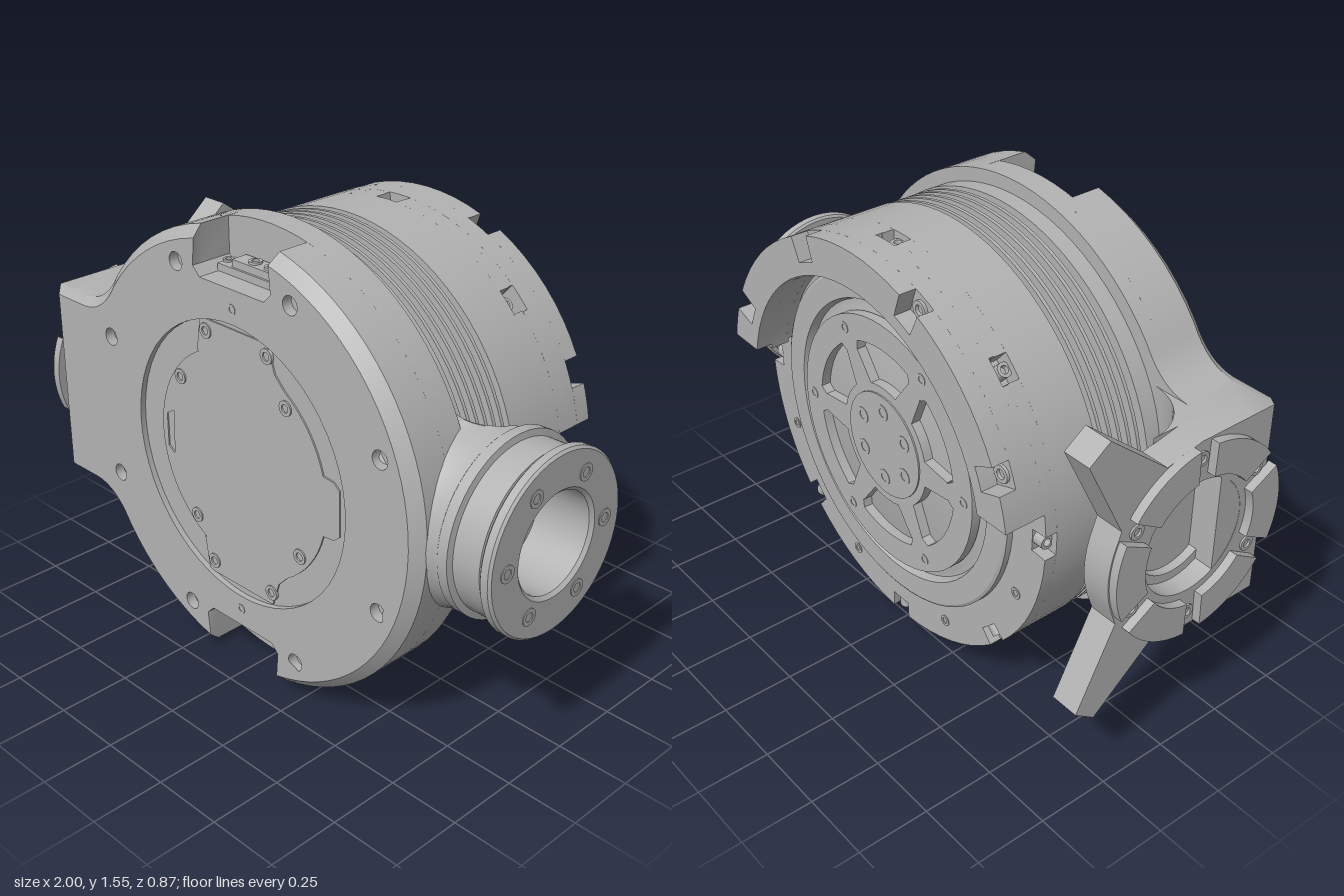
import * as THREE from 'three';
import { toCreasedNormals } from 'three/addons/utils/BufferGeometryUtils.js';
import { ParametricGeometry } from 'three/addons/geometries/ParametricGeometry.js';

const CX = -0.012, CY = 0.78;      // main axis, along z
const HZ = 0.09;                   // side hub axis, along x
const PI = Math.PI;

export function createModel() {
  const model = new THREE.Group();
  const metal = new THREE.MeshStandardMaterial({ color: 0xb2b2b2, side: THREE.DoubleSide });
  metal.name = 'grey metal';

  const add = (name, geo, x = 0, y = 0, z = 0, crease = 0.5) => {
    const mesh = new THREE.Mesh(toCreasedNormals(geo, crease), metal);
    mesh.name = name;
    mesh.position.set(x, y, z);
    model.add(mesh);
    return mesh;
  };
  const pts = a => a.map(p => new THREE.Vector2(p[0], p[1]));
  const polar = (r, a) => [r * Math.cos(a), r * Math.sin(a)];
  const arc = (r, a, b, n) => Array.from({ length: n + 1 }, (_, i) => polar(r, a + (b - a) * i / n));
  const shape = a => new THREE.Shape(pts(a));
  const circle = (r, x = 0, y = 0, n = 24) =>
    new THREE.Path(pts(arc(r, 0, 2 * PI, n).slice(0, -1).map(p => [p[0] + x, p[1] + y])));
  const extrude = (s, depth, steps = 1) =>
    new THREE.ExtrudeGeometry(s, { depth, steps, bevelEnabled: false, curveSegments: 16 });
  const lathe = (profile, n = 64) => new THREE.LatheGeometry(pts(profile), n);

  // Socket-head screw whose top faces dir: 'z', '-z', 'x', '-x' or a radial angle
  const screw = (x, y, z, dir, r = 0.026, h = 0.03) => {
    const g = lathe([[r, -h], [r, 0], [r * 0.55, 0], [r * 0.5, -h * 0.45], [0, -h * 0.45]], 16);
    if (dir === 'z') g.rotateX(PI / 2);
    else if (dir === '-z') g.rotateX(-PI / 2);
    else if (dir === 'x') g.rotateZ(-PI / 2);
    else if (dir === '-x') g.rotateZ(PI / 2);
    else g.rotateZ(dir - PI / 2);
    add('screw', g, x, y, z);
  };

  // Housing outline: a circle with the arm on -x, optionally notched at top and bottom
  const outline = notched => {
    const R = 0.775, w = 0.175, e = Math.acos(w / R), end = 143 * PI / 180;
    const half = [];
    if (notched) {
      half.push(...arc(R, 0, e, 18), [w, 0.63], [w - 0.03, 0.6], [0.03 - w, 0.6], [-w, 0.63],
        ...arc(R, PI - e, end, 8));
    } else half.push(...arc(R, 0, end, 34));
    const blend = new THREE.QuadraticBezierCurve(
      new THREE.Vector2(...polar(R, end)), new THREE.Vector2(-0.69, 0.35), new THREE.Vector2(-0.8, 0.345));
    half.push(...blend.getPoints(8).slice(1).map(p => [p.x, p.y]), [-0.955, 0.345]);
    return [...half, ...half.slice(1).reverse().map(p => [p[0], -p[1]])];
  };

  // Rear layer of the housing
  add('housing rear', extrude(shape(outline(false)), 0.09), CX, CY, 0.19);

  // Front layer: notches, cover recess, bolt holes and a chamfered front edge
  const boltSpots = [];
  for (let i = 0; i < 8; i++) boltSpots.push(polar(0.673, PI / 8 + i * PI / 4));
  const front = shape(outline(true));
  front.holes.push(circle(0.485, 0, 0, 56), ...boltSpots.map(p => circle(0.031, p[0], p[1], 16)));
  const fg = extrude(front, 0.19, 2);
  const pos = fg.attributes.position;
  for (let i = 0; i < pos.count; i++) {
    const x = pos.getX(i), y = pos.getY(i), z = pos.getZ(i);
    if (z > 0.15 && Math.hypot(x, y) > 0.72) pos.setXY(i, x * 0.953, y * 0.953);
    else if (z > 0.05 && z < 0.15) pos.setZ(i, 0.15);
  }
  add('housing front', fg, CX, CY, 0.24, 0.4);
  boltSpots.forEach(p => {
    const plug = new THREE.CylinderGeometry(0.031, 0.031, 0.1, 16).rotateX(PI / 2);
    add('bolt hole floor', plug, CX + p[0], CY + p[1], 0.345);
  });

  // Recessed cover with a thin raised plate
  add('cover disc', new THREE.CylinderGeometry(0.485, 0.485, 0.14, 56).rotateX(PI / 2), CX, CY, 0.34);
  const plate = shape([[0.14, 0.46], [0.17, 0.37], ...arc(0.39, 1.0, 0.27, 8), [0.42, 0.1], [0.445, 0.08],
    [0.445, -0.08], [0.42, -0.1], ...arc(0.39, -0.27, -1.0, 8), [0.17, -0.37], [0.14, -0.46],
    [-0.17, -0.46], [-0.19, -0.34], ...arc(0.385, -2.06, -4.22, 20), [-0.19, 0.34], [-0.17, 0.46]]);
  plate.holes.push(new THREE.Path(pts([[-0.36, -0.06], [-0.33, -0.08], [-0.325, 0.08], [-0.36, 0.06]])));
  add('cover plate', extrude(plate, 0.006), CX, CY, 0.409);
  for (const [x, y] of [[-0.155, 1.2], [0.125, 1.2], [0.205, 1.055], [-0.29, 1.0],
    [-0.235, 0.51], [0.26, 0.56], [-0.155, 0.365], [0.125, 0.365]]) screw(x, y, 0.42, 'z');
  for (const s of [-1, 1]) {
    screw(CX, CY + s * 0.535, 0.432, 'z', 0.017);
    // Connector in the notch
    add('connector base', new THREE.BoxGeometry(0.3, 0.03, 0.075), CX, CY + s * 0.61, 0.315);
    add('connector socket', new THREE.BoxGeometry(0.18, 0.03, 0.06), CX, CY + s * 0.635, 0.315);
    for (const x of [-0.015, 0.055]) screw(CX + x, CY + s * 0.658, 0.315, s * PI / 2, 0.022);
    for (const x of [-0.14, 0.125]) screw(CX + x, CY + s * 0.632, 0.315, s * PI / 2, 0.018);
  }

  // Drum with cooling fins
  const drum = [[0.6, -0.245], [0.727, -0.245], [0.727, -0.06], [0.68, -0.06], [0.68, -0.041]];
  for (let i = 0; i < 5; i++) {
    const z = -0.035 + i * 0.034;
    drum.push([0.665, z - 0.006], [0.724, z - 0.006], [0.724, z + 0.006], [0.665, z + 0.006]);
  }
  drum.push([0.665, 0.13], [0.727, 0.13], [0.727, 0.25]);
  add('finned drum', lathe(drum, 80).rotateX(PI / 2), CX, CY, 0);

  // Ring outline cut from the outside at the given angles
  const cutArc = (R, depth, width, a0, a1, cuts) => {
    const out = [];
    let a = a0;
    for (const c of cuts) {
      const d = width / 2 / R;
      out.push(...arc(R, a, c - d, 8), ...arc(R - depth, c - d, c + d, 4));
      a = c + d;
    }
    return [...out, ...arc(R, a, a1, 8)];
  };

  // Rear rim with eight screw pockets
  const rimCuts = Array.from({ length: 8 }, (_, i) => i * PI / 4);
  const rim = shape(cutArc(0.727, 0.06, 0.085, -PI / 8, 2 * PI - PI / 8, rimCuts).slice(0, -1));
  rim.holes.push(circle(0.5, 0, 0, 48));
  add('rear rim', extrude(rim, 0.045), CX, CY, -0.288);
  rimCuts.forEach(a => {
    const [x, y] = polar(0.705, a);
    screw(CX + x, CY + y, -0.262, a, 0.024, 0.04);
    const [u, v] = polar(0.65, a + PI / 8);
    if (v < 0.1) screw(CX + u, CY + v, -0.291, '-z', 0.02);
  });

  // Raised half ring on the upper rear, notched in its outer layer
  const A0 = 0.166, A1 = PI - A0;
  const arcCuts = [1, 3, 5, 7].map(k => k * PI / 8);
  const halfRing = cuts => shape([...cutArc(0.727, 0.085, 0.09, A0, A1, cuts),
    ...arc(0.6, A1 - 0.03, A0 + 0.03, 32)]);
  add('half ring base', extrude(halfRing([2, 4, 6].map(k => k * PI / 8)), 0.03), CX, CY, -0.315);
  const solid = shape([...arc(0.727, A0, A1, 40), ...arc(0.6, A1, A0, 40)]);
  add('half ring', extrude(solid, 0.068), CX, CY, -0.375);
  add('half ring edge', extrude(halfRing(arcCuts), 0.06), CX, CY, -0.435);
  arcCuts.forEach(a => {
    const [x, y] = polar(0.683, a);
    screw(CX + x, CY + y, -0.385, '-z', 0.03);
  });

  // Stepped rear cover
  add('rear cover', lathe([[0, -0.302], [0.43, -0.302], [0.46, -0.29], [0.48, -0.29], [0.49, -0.316],
    [0.57, -0.316], [0.58, -0.31], [0.58, -0.24]], 72).rotateX(PI / 2), CX, CY, 0);

  // Six-spoked rear wheel
  const wheel = shape(arc(0.445, 0, 2 * PI, 60).slice(0, -1));
  for (let i = 0; i < 6; i++) {
    const m = i * PI / 3 + PI / 6;
    wheel.holes.push(new THREE.Path(pts([...arc(0.355, m - 0.38, m + 0.38, 8),
      ...arc(0.325, m + 0.43, m + 0.42, 1), ...arc(0.215, m + 0.3, m - 0.3, 6),
      ...arc(0.325, m - 0.42, m - 0.43, 1)])));
    const [x, y] = polar(0.125, m);
    screw(CX + x, CY + y, -0.342, '-z', 0.028);
    const [u, v] = polar(0.4, m - PI / 6);
    screw(CX + u, CY + v, -0.337, '-z', 0.02);
  }
  add('rear wheel', extrude(wheel, 0.034), CX, CY, -0.335);
  add('wheel hub', new THREE.CylinderGeometry(0.185, 0.185, 0.01, 40).rotateX(PI / 2), CX, CY, -0.335);

  // Flared neck on +x, hollowed at the rear by a round clearance
  add('side neck', new ParametricGeometry((u, v, t) => {
    const x = 0.58 + 0.22 * v, a = u * 2 * PI;
    const r = 0.3 + 0.1 * ((0.8 - x) / 0.22) ** 2;
    const k = THREE.MathUtils.clamp((x - 0.6) / 0.2, 0, 1);
    const zMin = -0.03 + 0.22 * Math.sqrt(1 - k * k);
    const z = THREE.MathUtils.clamp(HZ + r * Math.cos(a), v > 0.999 ? -1 : zMin, 0.42);
    t.set(x, CY + r * Math.sin(a), z);
  }, 48, 24), 0, 0, 0, 0.7);

  // Bored side flange with six screws
  add('side flange', lathe([[0.165, 0.795], [0.295, 0.795], [0.302, 0.802], [0.302, 0.838], [0.28, 0.842],
    [0.28, 0.94], [0.262, 0.943], [0.262, 0.955], [0.294, 0.955], [0.302, 0.962], [0.302, 0.988],
    [0.294, 0.996], [0.178, 0.996], [0.166, 0.985], [0.165, 0.795]], 56).rotateZ(-PI / 2), 0, CY, HZ);
  for (let i = 0; i < 6; i++) {
    const [z, y] = polar(0.226, i * PI / 3);
    screw(0.999, CY + y, HZ + z, 'x', 0.029);
  }

  // Curved arm joining the housing to the left-hand yoke
  const web = [...arc(0.2, PI, 1.5 * PI, 14).map(p => [p[0] - 0.67, p[1] + 0.01]),
    [-0.62, -0.35], [-0.87, -0.35]];
  add('arm web', extrude(shape(web), 0.69).rotateX(-PI / 2), 0, CY - 0.345, 0);

  // Yoke slab: rounded at the rear, square at the front, with two prongs (first axis is -z)
  const prong = [[0.05, 0.315], [0.28, 0.505], [0.355, 0.45], [0.215, 0.17]];
  const yoke = shape([[-0.39, -0.345], [-0.09, -0.345], ...prong.map(p => [p[0], -p[1]]),
    ...arc(0.345, -0.4, 0.4, 8).map(p => [p[0] - HZ, p[1]]),
    ...prong.reverse(), [-0.09, 0.345], [-0.39, 0.345]]);
  yoke.holes.push(circle(0.2, -HZ, 0, 40));
  add('yoke', extrude(yoke, 0.1).rotateY(PI / 2), -0.968, CY, 0);

  // Yoke face: ring pieces with gaps between them, and a stepped bore
  for (let i = 0; i < 6; i++) {
    const m = i * PI / 3;
    const piece = shape([...arc(0.34, m - 0.42, m + 0.42, 12), ...arc(0.225, m + 0.38, m - 0.38, 10)]);
    add('yoke face segment', extrude(piece, 0.032).rotateY(PI / 2), -0.998, CY, HZ);
    const [z, y] = polar(0.285, m + PI / 6);
    screw(-0.975, CY + y, HZ + z, '-x', 0.026);
  }
  add('yoke bore ring', lathe([[0.17, -0.9], [0.2, -0.9], [0.2, -0.87], [0.17, -0.87], [0.17, -0.9]], 40)
    .rotateZ(-PI / 2), 0, CY, HZ);
  return model;
}
